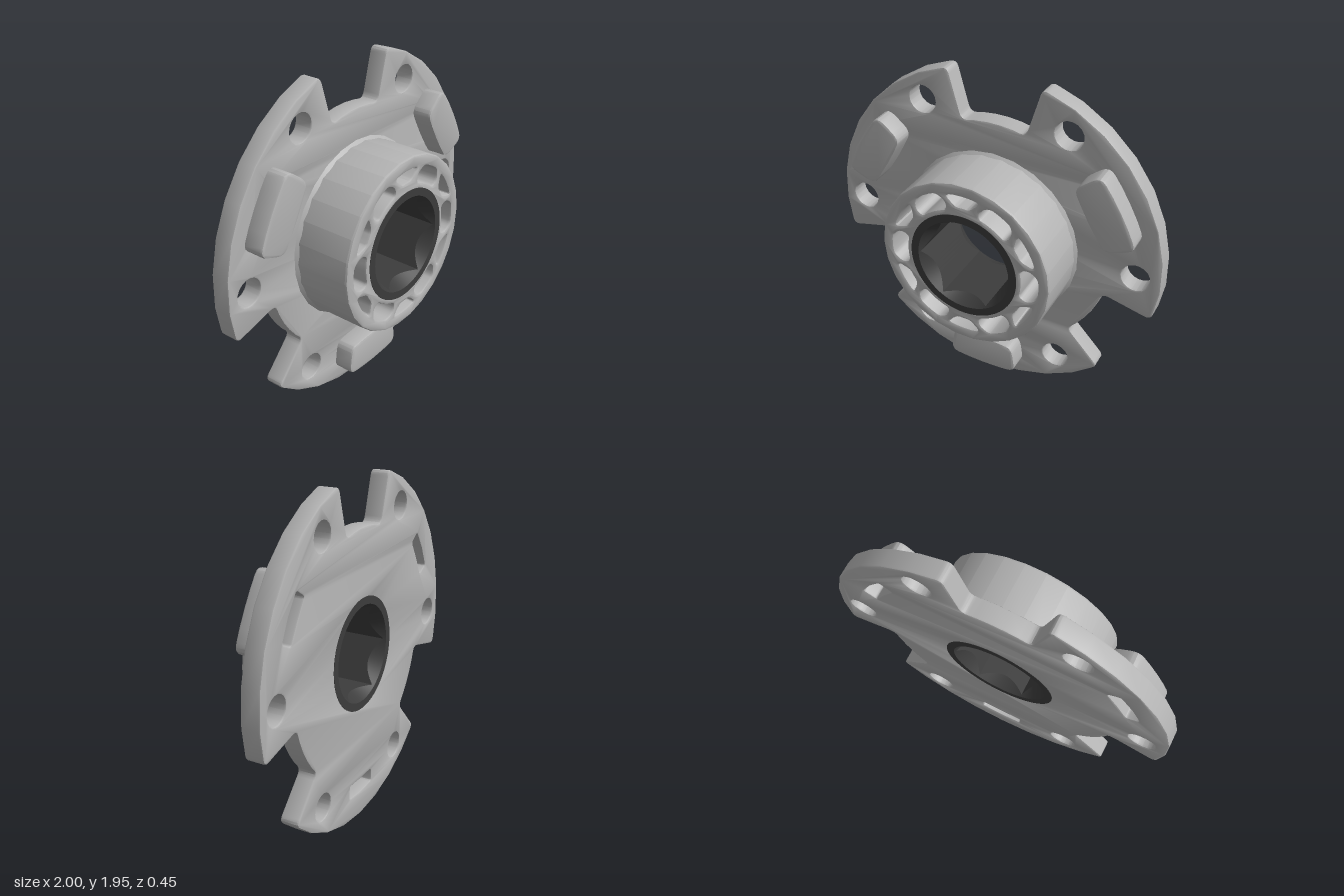
import * as THREE from 'three';
import { toCreasedNormals } from 'three/addons/utils/BufferGeometryUtils.js';

const BACK = -0.225, FACE = -0.115, FRONT = 0.225;
const grey = new THREE.MeshStandardMaterial({ color: 0xb4b4b4 });
grey.name = 'grey plastic';
const dark = new THREE.MeshStandardMaterial({ color: 0x3c3c3c });
dark.name = 'dark insert';

const rad = THREE.MathUtils.degToRad;
const V = (x, y) => new THREE.Vector2(x, y);
const polar = (r, deg) => V(r * Math.cos(rad(deg)), r * Math.sin(rad(deg)));

// points along an arc, both ends included
function arc(r, from, to, n) {
  return Array.from({ length: n + 1 }, (_, i) => polar(r, from + (to - from) * i / n));
}
const circle = (r, n, cx = 0, cy = 0) =>
  arc(r, 0, 360, n).slice(0, n).map(p => p.add(V(cx, cy)));
const turn = (pts, deg) =>
  pts.map(p => p.clone().rotateAround(V(0, 0), rad(deg)));

// rounds the corners of a closed outline; gentle bends are kept
function rounded(pts, radius) {
  const out = [];
  pts.forEach((p, i) => {
    const a = pts[(i + pts.length - 1) % pts.length], b = pts[(i + 1) % pts.length];
    const da = a.clone().sub(p), db = b.clone().sub(p);
    const bend = Math.PI - Math.acos(THREE.MathUtils.clamp(da.dot(db) / da.length() / db.length(), -1, 1));
    if (bend < 0.4) { out.push(p); return; }
    const s = p.clone().add(da.setLength(Math.min(radius, da.length() * 0.45)));
    const e = p.clone().add(db.setLength(Math.min(radius, db.length() * 0.45)));
    out.push(...new THREE.QuadraticBezierCurve(s, p, e).getPoints(4));
  });
  return out;
}

// bevelled slab between two z levels with holes
function slab(name, outline, holes, z0, z1, bevel) {
  const shape = new THREE.Shape(outline);
  holes.forEach(h => shape.holes.push(new THREE.Path(h)));
  const geo = new THREE.ExtrudeGeometry(shape, {
    depth: z1 - z0 - 2 * bevel, bevelSize: bevel, bevelThickness: bevel,
    bevelOffset: -bevel, bevelSegments: 2, curveSegments: 1,
  });
  geo.translate(0, 0, z0 + bevel);
  const mesh = new THREE.Mesh(toCreasedNormals(geo, 0.45), grey);
  mesh.name = name;
  return mesh;
}

// flange plate: three lobes divided by three notches
function flange() {
  const outline = [];
  for (let k = 0; k < 3; k++) {
    const a = k * 120;
    outline.push(...arc(1, a - 14.3, a + 74.3, 8));
    outline.push(...arc(0.705, a + 74.5, a + 105.5, 5));
  }
  const holes = [circle(0.305, 32)];
  for (let k = 0; k < 6; k++) {
    const c = polar(0.855, k * 60);
    holes.push(circle(0.08, 18, c.x, c.y));
  }
  // slots opening to the back behind each boss
  const slot = rounded([V(-0.13, -0.845), V(0, -0.855), V(0.13, -0.845),
    V(0.125, -0.765), V(0, -0.77), V(-0.125, -0.765)], 0.015);
  for (let k = 0; k < 3; k++) holes.push(turn(slot, k * 120));
  return slab('flangePlate', rounded(outline, 0.04), holes, BACK, FACE, 0.01);
}

// hub with a ring of twelve lightening pockets
function hub() {
  const holes = [circle(0.305, 32)];
  const wide = rounded([...arc(0.44, -13, 13, 4), ...arc(0.375, 6, -6, 2)], 0.025);
  const dee = rounded([...arc(0.445, -9, 9, 3), polar(0.4, 15), ...arc(0.35, 14, -14, 4),
    polar(0.4, -15)], 0.04);
  for (let k = 0; k < 6; k++) {
    holes.push(turn(wide, 30 + k * 60), turn(dee, k * 60));
  }
  return slab('hub', circle(0.51, 26), holes, FACE - 0.03, FRONT, 0.014);
}

// round sleeve with a hexagonal bore, chamfered at both ends
function sleeve() {
  const n = 72, apothem = 0.234, mouth = 0.277, R = 0.322, end = FRONT + 0.002;
  const ring = i => {
    const t = i / n * Math.PI * 2;
    const local = ((t % (Math.PI / 3)) - Math.PI / 6);
    const hex = apothem / Math.cos(local);
    const z = end - (mouth - hex) * 1.7;
    return [[R, -end], [mouth, -end], [hex, -z], [hex, z], [mouth, end], [R, end], [R, -end]]
      .map(([r, h]) => [r * Math.cos(t), r * Math.sin(t), h]);
  };
  const pos = [];
  for (let i = 0; i < n; i++) {
    const a = ring(i), b = ring((i + 1) % n);
    for (let j = 0; j < 6; j++) {
      pos.push(...a[j], ...a[j + 1], ...b[j], ...b[j], ...a[j + 1], ...b[j + 1]);
    }
  }
  const geo = new THREE.BufferGeometry();
  geo.setAttribute('position', new THREE.Float32BufferAttribute(pos, 3));
  const mesh = new THREE.Mesh(toCreasedNormals(geo, 0.4), dark);
  mesh.name = 'hexSleeve';
  return mesh;
}

export function createModel() {
  const model = new THREE.Group();
  model.name = 'hexHubFlange';
  const body = new THREE.Group();
  body.name = 'body';
  body.position.y = 1;
  model.add(body);
  body.add(flange(), hub(), sleeve());

  // small fillet where the hub meets the plate
  const fillet = new THREE.Mesh(new THREE.CylinderGeometry(0.508, 0.526, 0.02, 26, 1, true), grey);
  fillet.name = 'hubFillet';
  fillet.rotation.x = Math.PI / 2;
  fillet.position.z = FACE + 0.009;
  body.add(fillet);

  // three raised bosses, one on each lobe
  const outline = rounded([V(-0.222, -0.885), V(-0.1, -0.897), V(0, -0.9), V(0.1, -0.897), V(0.222, -0.885),
    V(0.195, -0.705), V(0.1, -0.698), V(0, -0.695), V(-0.1, -0.698), V(-0.195, -0.705)], 0.06);
  for (let k = 0; k < 3; k++) {
    const boss = slab('boss' + (k + 1), outline, [], FACE - 0.012, 0, 0.012);
    boss.rotation.z = rad(k * 120);
    body.add(boss);
  }
  return model;
}
